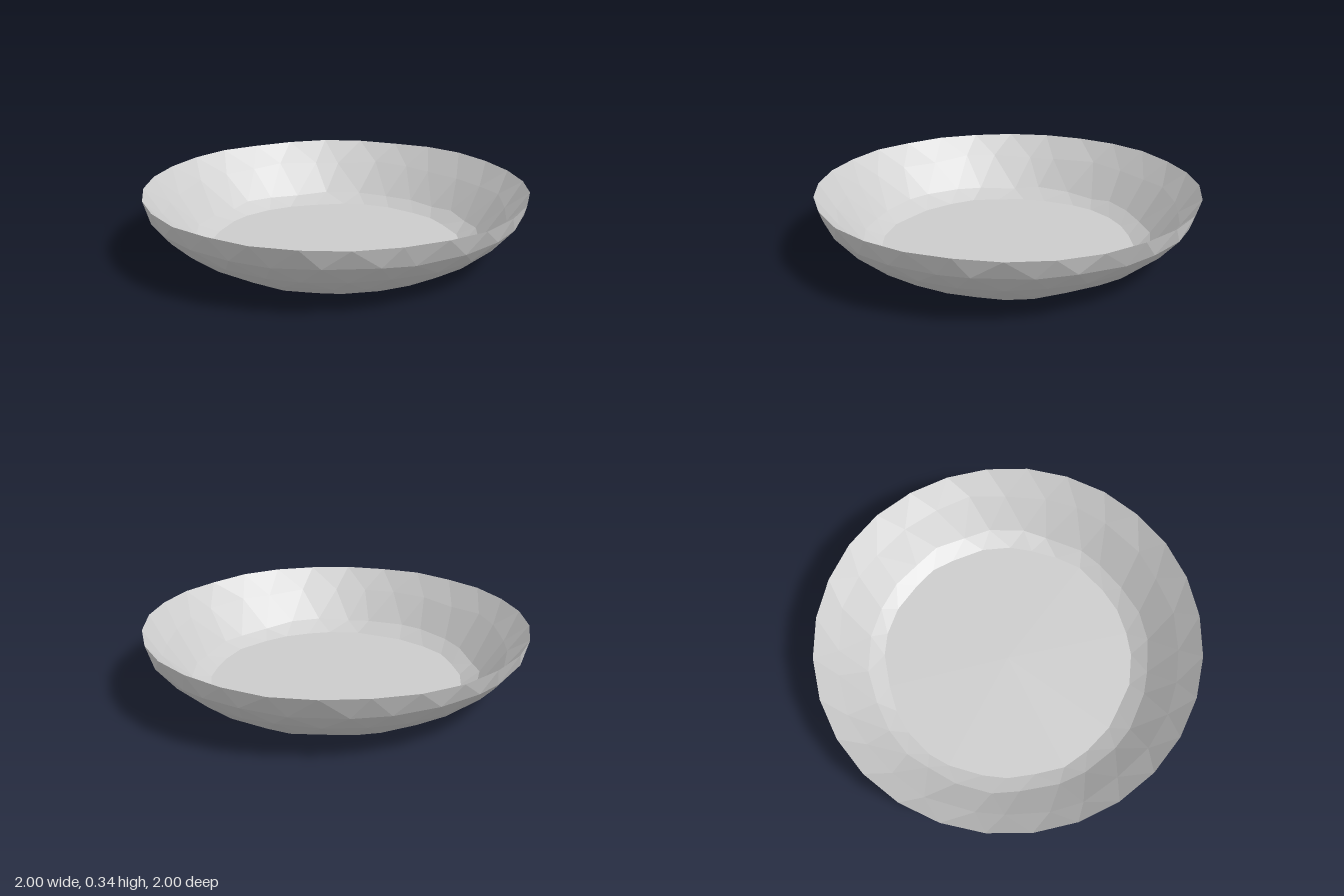
import * as THREE from 'three';

const SIDES = 28;
// Rings from the inner floor edge up to the rim and down the outside: radius, height
const RINGS = [
  [0.67, 0.014], [0.755, 0.062], [0.9, 0.222],
  [1, 0.333],
  [0.97, 0.235], [0.9, 0.152], [0.805, 0.075], [0.69, 0.008],
];
const RIM = 3;
const LAST = RINGS.length - 1;

// Small seeded generator giving values from -1 to 1
function seeded(seed) {
  return () => {
    seed = (seed * 16807) % 2147483647;
    return (seed / 2147483647) * 2 - 1;
  };
}

function bowlGeometry() {
  const wobble = seeded(71);
  // Centres of the inner floor and the underside
  const positions = [0, 0.014, 0, 0, 0, 0];
  const indices = [];
  const at = (ring, i) => 2 + ring * SIDES + (i % SIDES);
  const isStaggered = (ring) => (RIM - ring) % 2 !== 0;

  // Staggered rings, slightly uneven like hand-worked facets; rim and floors stay nearly true
  RINGS.forEach(([radius, height], k) => {
    const isRim = k === RIM;
    const isFloor = k === 0 || k === LAST;
    const stagger = isStaggered(k) ? 0.5 : 0;
    for (let i = 0; i < SIDES; i++) {
      const angle = (i + stagger + (isRim ? 0 : wobble() * 0.18)) * Math.PI * 2 / SIDES;
      const shift = isRim ? 0 : wobble() * 0.012;
      const lift = isRim ? wobble() * 0.004 : isFloor ? 0 : shift * 0.9;
      positions.push(Math.cos(angle) * (radius + shift), height + lift, Math.sin(angle) * (radius + shift));
    }
  });

  // Flat inner floor and underside
  for (let i = 0; i < SIDES; i++) {
    indices.push(0, at(0, i + 1), at(0, i));
    indices.push(1, at(LAST, i), at(LAST, i + 1));
  }

  // Walls: zigzag triangles between neighbouring rings
  for (let k = 0; k < LAST; k++) {
    for (let i = 0; i < SIDES; i++) {
      const a = at(k, i), a2 = at(k, i + 1), b = at(k + 1, i), b2 = at(k + 1, i + 1);
      if (isStaggered(k)) indices.push(a, b2, b, a, a2, b2);
      else indices.push(a, a2, b, a2, b2, b);
    }
  }

  const geometry = new THREE.BufferGeometry();
  geometry.setAttribute('position', new THREE.Float32BufferAttribute(positions, 3));
  geometry.setIndex(indices);
  const faceted = geometry.toNonIndexed();
  faceted.computeVertexNormals();
  return faceted;
}

export function createModel() {
  const group = new THREE.Group();
  group.name = 'shallowBowl';
  // Closed shell with a sharp rim
  const material = new THREE.MeshStandardMaterial({ color: 0xcccccc, flatShading: true });
  const bowl = new THREE.Mesh(bowlGeometry(), material);
  bowl.name = 'bowl';
  group.add(bowl);
  return group;
}
